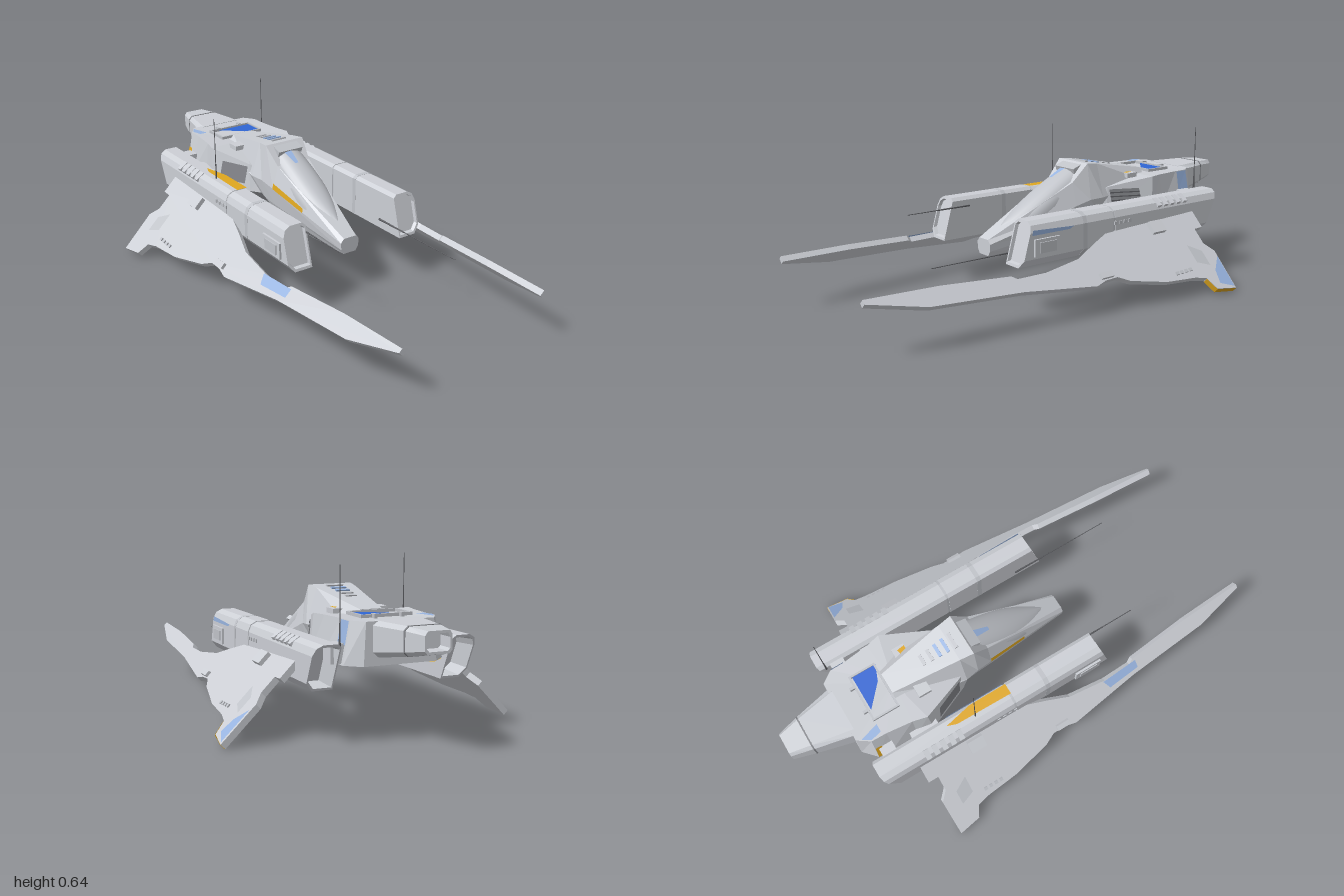
import * as THREE from 'three';

const mat = (name, color, side = THREE.FrontSide) => {
  const m = new THREE.MeshStandardMaterial({ color, side });
  m.name = name;
  return m;
};

export function createModel() {
  const ship = new THREE.Group();
  ship.name = 'spacecraft';
  const D = THREE.DoubleSide;
  const hull = mat('hull grey', 0xcccfd5);
  const mid = mat('panel grey', 0xc0c3c9, D);
  const grille = mat('grille grey', 0x85878c, D);
  const dark = mat('dark grey', 0x58595d);
  const blue = mat('bright blue', 0x2f66d4, D);
  const paleBlue = mat('faded blue', 0x98b4e0, D);
  const yellow = mat('yellow', 0xdfa71f, D);

  const add = (name, geo, material) => {
    const m = new THREE.Mesh(geo, material);
    m.name = name;
    ship.add(m);
    return m;
  };
  const box = (name, material, w, h, d, x, y, z, rx = 0, rz = 0) => {
    const m = add(name, new THREE.BoxGeometry(w, h, d), material);
    m.position.set(x, y, z);
    m.rotation.set(rx, 0, rz);
  };
  const fromPositions = p => {
    const g = new THREE.BufferGeometry();
    g.setAttribute('position', new THREE.Float32BufferAttribute(p, 3));
    g.computeVertexNormals();
    return g;
  };
  // Flat polygon used for painted panels
  const plate = (name, material, pts) => {
    const p = [];
    for (let i = 1; i < pts.length - 1; i++) p.push(...pts[0], ...pts[i], ...pts[i + 1]);
    add(name, fromPositions(p), material);
  };
  // Faceted skin through closed rings of [x, y, z], capped at both ends
  const loft = rings => {
    const p = [], n = rings[0].length;
    for (let i = 0; i < rings.length - 1; i++) for (let j = 0; j < n; j++) {
      const k = (j + 1) % n, A = rings[i], B = rings[i + 1];
      p.push(...A[j], ...A[k], ...B[k], ...A[j], ...B[k], ...B[j]);
    }
    const cap = (r, flip) => {
      const c = [0, 1, 2].map(a => r.reduce((s, v) => s + v[a], 0) / n);
      for (let j = 0; j < n; j++) {
        const a = r[j], b = r[(j + 1) % n];
        p.push(...c, ...(flip ? b : a), ...(flip ? a : b));
      }
    };
    cap(rings[0], true);
    cap(rings[rings.length - 1], false);
    return fromPositions(p);
  };
  const sym = half => [...half, ...half.slice().reverse().map(([x, y, z]) => [-x, y, z])];
  const section = (z, half) => sym(half.map(([x, y]) => [x, y, z]));
  // Mirror to the right side, keeping the faces outward
  const sided = (geo, s) => {
    const g = geo.index ? geo.toNonIndexed() : geo;
    if (s < 0) {
      const a = g.attributes.position.array;
      for (let i = 0; i < a.length; i += 9) for (let k = 0; k < 3; k++) {
        const t = a[i + 3 + k]; a[i + 3 + k] = a[i + 6 + k]; a[i + 6 + k] = t;
      }
      for (let i = 0; i < a.length; i += 3) a[i] *= -1;
    }
    g.computeVertexNormals();
    return g;
  };

  // Forward hull with chin and dorsal spine
  add('forwardHull', loft([
    section(-0.54, [[0.05, 0.3], [0.08, 0.31], [0.1, 0.4], [0.045, 0.457]]),
    section(-0.25, [[0.055, 0.285], [0.1, 0.3], [0.13, 0.37], [0.085, 0.51]]),
    section(-0.19, [[0.055, 0.24], [0.1, 0.28], [0.118, 0.365], [0.093, 0.517]]),
    section(-0.12, [[0.055, 0.18], [0.092, 0.265], [0.107, 0.345], [0.08, 0.442]]),
    section(0.28, [[0.03, 0.18], [0.042, 0.2], [0.045, 0.23], [0.03, 0.247]]),
  ]), hull);

  // Smooth canopy
  const cp = [], ci = [], NT = 16, NA = 14;
  for (let i = 0; i <= NT; i++) {
    const t = i / NT, z = -0.17 + 0.38 * t, w = 0.086 * Math.pow(1 - t ** 3, 0.6) * (0.88 + 0.22 * t);
    const top = 0.503 - 0.59 * (z + 0.17) + 0.012 * Math.sin(Math.PI * t);
    for (let j = 0; j <= NA; j++) {
      const a = Math.PI * j / NA;
      cp.push(w * Math.cos(a), top - 0.075 + 0.075 * Math.sin(a), z);
      if (i < NT && j < NA) {
        const q = i * (NA + 1) + j, r = q + NA + 1;
        ci.push(q, q + 1, r + 1, q, r + 1, r);
      }
    }
  }
  const canopy = fromPositions(cp);
  canopy.setIndex(ci);
  canopy.computeVertexNormals();
  add('canopy', canopy, mid);
  plate('canopyPaint', paleBlue, [[-0.03, 0.489, -0.145], [0.003, 0.492, -0.145], [-0.005, 0.458, -0.075], [-0.02, 0.457, -0.075]]);

  // Main body: bottom outline to inset deck outline
  add('mainBody', loft([
    sym([[0.08, 0.29, -0.2], [0.13, 0.29, -0.27], [0.212, 0.29, -0.46], [0.2, 0.29, -0.53], [0.2, 0.29, -0.64], [0.2, 0.29, -0.71], [0.145, 0.29, -0.76]]),
    sym([[0.08, 0.39, -0.22], [0.122, 0.41, -0.28], [0.2, 0.445, -0.47], [0.185, 0.445, -0.53], [0.172, 0.445, -0.64], [0.17, 0.445, -0.705], [0.135, 0.445, -0.755]]),
  ]), hull);

  // Tail boom with open end
  const tail = (z, w, y0, y1) => section(z, [[w * 0.8, y0], [w, y0 + (y1 - y0) * 0.15], [w, y1 - 0.015], [w * 0.8, y1]]);
  add('tailBoom', loft([tail(-0.94, 0.044, 0.372, 0.432), tail(-1, 0.044, 0.372, 0.432), tail(-1, 0.052, 0.363, 0.441), tail(-0.91, 0.075, 0.345, 0.446), tail(-0.74, 0.113, 0.315, 0.446)]), hull);
  add('tailBand', loft([tail(-0.913, 0.076, 0.344, 0.448), tail(-0.907, 0.077, 0.343, 0.448)]), grille);

  // Deck fittings
  for (const s of [-1, 1]) {
    box('deckFrameSide', mid, 0.008, 0.012, 0.11, s * 0.1, 0.449, -0.6);
    box('deckFrameEnd', mid, 0.208, 0.012, 0.008, 0, 0.449, -0.6 + s * 0.055);
    box('deckHatch', hull, 0.06, 0.02, 0.055, s * 0.085, 0.443, -0.43);
    box('deckClamp', mid, 0.012, 0.016, 0.025, s * 0.055, 0.45, -0.665);
  }
  plate('deckPaint', blue, [[-0.06, 0.45, -0.645], [0.096, 0.45, -0.645], [0.096, 0.45, -0.54], [0.03, 0.45, -0.565]]);
  plate('hatchPaint', yellow, [[0.058, 0.455, -0.425], [0.1, 0.455, -0.437], [0.105, 0.455, -0.403], [0.058, 0.455, -0.403]]);
  for (let i = 0; i < 5; i++) {
    const z = -0.235 - i * 0.035;
    box('spineSlat', i === 1 || i === 2 ? paleBlue : mid, 0.07 - i * 0.006, 0.008, 0.014, 0, 0.511 + (z + 0.25) * 0.185, z, -0.18);
  }
  box('canopyScoop', mid, 0.12, 0.03, 0.05, 0, 0.488, -0.168, 0.35);

  // Wing surface: downward slope as a function of x and z
  const wingPt = (s, x, z, up = 0) => [s * (x + up * 0.707), 0.6 - 0.04 * z - x + up * 0.707, z];
  const wingOutline = [[0.6, -0.575], [0.585, -0.478], [0.545, -0.455], [0.533, -0.4], [0.52, -0.25], [0.485, -0.08], [0.463, -0.03],
    [0.463, 0.03], [0.472, 0.08], [0.43, 0.4], [0.4, 0.78], [0.35, 1], [0.337, 1], [0.352, 0.71], [0.378, 0.42],
    [0.39, 0.4], [0.394, 0.27], [0.38, 0.1], [0.35, 0], [0.315, -0.13], [0.315, -0.59], [0.385, -0.59], [0.385, -0.545],
    [0.437, -0.545], [0.47, -0.58]].map(p => new THREE.Vector2(...p));
  // Pod cross-section, sheared along z
  const podProfile = [[0.22, 0.2], [0.3, 0.2], [0.327, 0.232], [0.327, 0.335], [0.316, 0.362], [0.292, 0.375], [0.235, 0.375], [0.22, 0.362]];
  const pod = (zb, k = 0, f = 1) => podProfile.map(([x, y]) => {
    const yy = 0.287 + (y - 0.287) * f;
    return [0.273 + (x - 0.273) * f, yy, zb + k * (yy - 0.2)];
  });

  for (const s of [1, -1]) {
    // Wing and its fittings
    const wg = new THREE.ExtrudeGeometry(new THREE.Shape(wingOutline), { depth: 0.025, bevelEnabled: false });
    const P = wg.attributes.position;
    for (let i = 0; i < P.count; i++) P.setXYZ(i, ...wingPt(1, P.getX(i), P.getY(i), -P.getZ(i)));
    add('wing', sided(wg, s), hull);
    const onWing = (name, m, w, h, d, x, z, up) => box(name, m, w, h, d, ...wingPt(s, x, z, up), 0, -s * Math.PI / 4);
    onWing('wingBracket', hull, 0.055, 0.024, 0.07, 0.35, -0.345, 0.006);
    onWing('wingFairing', hull, 0.025, 0.018, 0.06, 0.45, 0.02, 0.004);
    for (let i = 0; i < 4; i++) onWing('wingStud', mid, 0.014, 0.008, 0.014, 0.505, -0.32 - i * 0.025, 0.002);
    plate('wingHatch', mid, [[0.46, -0.51], [0.51, -0.51], [0.49, -0.45], [0.43, -0.45]].map(([x, z]) => wingPt(s, x, z, 0.003)));

    // Engine pod
    add('podFront', sided(loft([pod(-0.13), pod(0.33, -0.28), pod(0.33, -0.28, 0.88), pod(0.315, -0.28, 0.84)]), s), hull);
    add('podGroove', sided(loft([pod(-0.15, 0, 0.96), pod(-0.12, 0, 0.96)]), s), mid);
    add('podRear', sided(loft([pod(-0.57, -0.45, 0.8), pod(-0.67, -0.45, 0.88), pod(-0.67, -0.45, 0.985), pod(-0.14, 0, 0.985)]), s), hull);
    add('podBand', sided(loft([pod(0.01, 0, 1.01), pod(0.03, 0, 1.01)]), s), mid);
    for (let i = 0; i < 5; i++) box('podRib', hull, 0.045, 0.018, 0.022, s * 0.307, 0.357, -0.39 - i * 0.038, 0, -s * 0.6);
    for (let i = 0; i < 4; i++) box('podStud', mid, 0.008, 0.014, 0.014, s * 0.326, 0.312, -0.14 - i * 0.026);
    // Side intake frame
    box('intakeFrame', hull, 0.022, 0.068, 0.12, s * 0.325, 0.275, 0.215);
    box('intakeCover', mid, 0.006, 0.042, 0.08, s * 0.337, 0.275, 0.215);
    // Struts between body and pod
    box('rearStrut', hull, 0.06, 0.07, 0.06, s * 0.21, 0.33, -0.665);
    box('foreStrut', hull, 0.05, 0.06, 0.12, s * 0.212, 0.32, -0.5);

    // Grille on the slanted wall, with slats
    const wall = (t, y, o) => {
      const k = (y - 0.29) / 0.14;
      return [s * (0.13 + 0.082 * t - 0.01 * k + 0.918 * o), y, -0.27 - 0.19 * t - 0.01 * k + 0.396 * o];
    };
    const strip = (name, m, y0, y1, o) => plate(name, m, [[y0, 0], [y0, 1], [y1, 1], [y1, 0]]
      .map(([y, e]) => wall(0.12 + 0.65 * e - (y - 0.32), y, o)));
    strip('sideGrille', grille, 0.32, 0.4, 0.004);
    for (let i = 0; i < 4; i++) strip('grilleSlat', dark, 0.332 + i * 0.017, 0.337 + i * 0.017, 0.006);
  }

  // Painted patches on one side only
  plate('wingTipPaint', paleBlue, [[0.49, -0.574], [0.594, -0.57], [0.572, -0.505], [0.53, -0.52]].map(([x, z]) => wingPt(1, x, z, 0.003)));
  const tipEdge = [[0.601, -0.576], [0.587, -0.476], [0.547, -0.453]];
  for (let i = 0; i < 2; i++) {
    const [a, b] = [tipEdge[i], tipEdge[i + 1]];
    plate('wingTipEdge', yellow, [wingPt(1, ...a), wingPt(1, ...b), wingPt(1, ...b, -0.025), wingPt(1, ...a, -0.025)]);
  }
  plate('spikePaint', paleBlue, [[0.395, 0.26], [0.425, 0.28], [0.412, 0.43], [0.385, 0.43]].map(([x, z]) => wingPt(-1, x, z, 0.003)));
  plate('podTopPaint', yellow, [[-0.275, 0.378, -0.13], [-0.229, 0.378, -0.13], [-0.229, 0.378, -0.3], [-0.255, 0.378, -0.42], [-0.27, 0.378, -0.38]]);
  plate('podInnerPaint', paleBlue, [[-0.217, 0.21, -0.14], [-0.217, 0.36, -0.14], [-0.217, 0.36, -0.4], [-0.217, 0.3, -0.45], [-0.217, 0.21, -0.3]]);
  plate('podSidePaint', paleBlue, [[0.3285, 0.325, 0.285], [0.3285, 0.325, 0.1], [0.3285, 0.335, 0.08], [0.3285, 0.345, 0.28]]);
  plate('hullStripe', yellow, [[-0.109, 0.345, -0.12], [-0.081, 0.293, 0.06], [-0.078, 0.312, 0.06], [-0.105, 0.37, -0.12]]);
  plate('bellyPaint', yellow, [[0.095, 0.287, -0.67], [-0.14, 0.287, -0.757], [-0.198, 0.287, -0.71], [-0.198, 0.287, -0.68]]);
  plate('rearSidePaint', paleBlue, [[0.19, 0.36, -0.645], [0.19, 0.36, -0.705], [0.174, 0.443, -0.702], [0.175, 0.443, -0.645]]);
  plate('rearSideStripe', yellow, [[-0.203, 0.3, -0.67], [-0.203, 0.3, -0.709], [-0.187, 0.38, -0.706], [-0.188, 0.38, -0.68]]);
  plate('rearDeckPaint', paleBlue, [[-0.166, 0.448, -0.7], [-0.145, 0.448, -0.735], [-0.12, 0.448, -0.655], [-0.155, 0.448, -0.655]]);

  // Antennas and gun barrels
  const rod = (name, r, len, x, y, z, forward) => {
    const m = add(name, new THREE.CylinderGeometry(r * 0.6, r, len, 8), dark);
    m.position.set(x, y, z);
    if (forward) m.rotation.x = Math.PI / 2;
  };
  for (const [x, z] of [[-0.277, -0.3], [0.215, -0.715]]) {
    rod('antenna', 0.0022, 0.27, x, 0.505, z);
    rod('antennaBase', 0.004, 0.08, x, 0.4, z);
  }
  for (const [x, y, tip] of [[-0.222, 0.335, 0.5], [0.216, 0.24, 0.66]]) {
    rod('gunBarrel', 0.0025, tip - 0.2, x, y, (tip + 0.2) / 2, true);
    rod('gunMount', 0.0045, 0.16, x, y, 0.28, true);
  }
  return ship;
}
